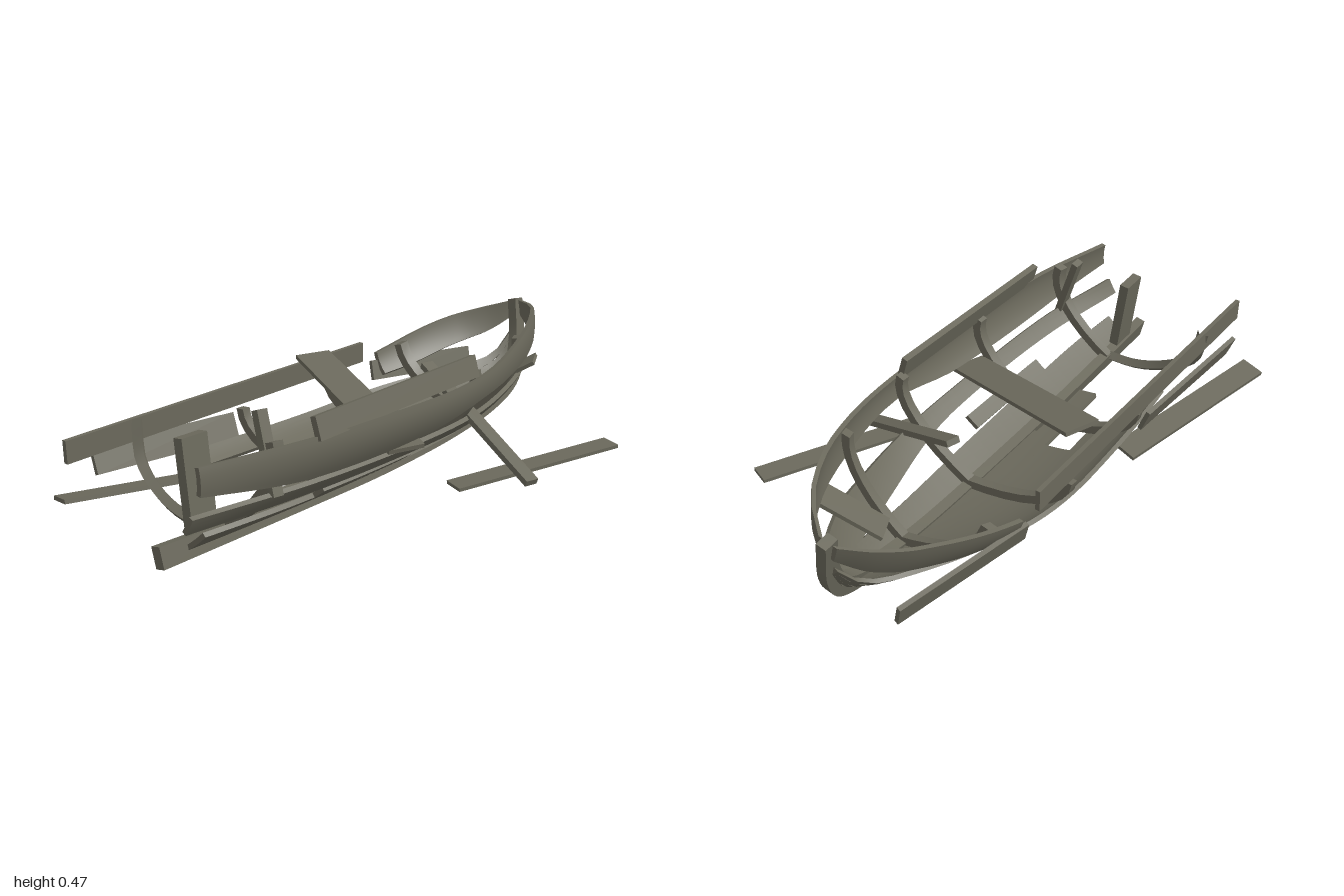
import * as THREE from 'three';
import { toCreasedNormals } from 'three/addons/utils/BufferGeometryUtils.js';

const wood = new THREE.MeshStandardMaterial({ color: 0x6b695c });
wood.name = 'weathered wood';

// Smooth interpolation through [x, value] pairs
function along(pairs) {
  const slope = (i) => {
    const a = pairs[Math.max(i - 1, 0)], b = pairs[Math.min(i + 1, pairs.length - 1)];
    return b === a ? 0 : (b[1] - a[1]) / (b[0] - a[0]);
  };
  return (x) => {
    let i = 0;
    while (i < pairs.length - 2 && x > pairs[i + 1][0]) i++;
    const [x0, y0] = pairs[i], [x1, y1] = pairs[i + 1];
    const d = x1 - x0, s = THREE.MathUtils.clamp((x - x0) / d, 0, 1);
    const s2 = s * s, s3 = s2 * s;
    return y0 * (2 * s3 - 3 * s2 + 1) + y1 * (3 * s2 - 2 * s3)
      + d * (slope(i) * (s3 - 2 * s2 + s) + slope(i + 1) * (s3 - s2));
  };
}

// Hull lines: half beam, sheer height and keel height along the length
const beam = along([[-1, 0.24], [-0.6, 0.33], [0, 0.365], [0.3, 0.35], [0.6, 0.28], [0.8, 0.19], [0.9, 0.11], [0.97, 0.025]]);
const sheer = along([[-1, 0.34], [-0.5, 0.31], [0, 0.29], [0.25, 0.305], [0.5, 0.35], [0.75, 0.4], [0.97, 0.42]]);
const rise = along([[-1, 0.06], [-0.4, 0.035], [0, 0.03], [0.4, 0.035], [0.7, 0.075], [0.87, 0.14], [0.97, 0.3]]);

// Point on the hull section: t = 0 at the keel, 1 at the sheer
function section(x, t) {
  const a = t * Math.PI / 2, k = rise(x);
  return new THREE.Vector2(beam(x) * Math.sin(a), k + (sheer(x) - k) * (0.4 * (1 - Math.cos(a)) + 0.6 * t));
}

// Curved strip of hull between two girth lines, closed on all sides
function strake(name, side, x0, x1, low, high, inner = -0.008, outer = 0.008, nx = 28) {
  const lo = typeof low === 'number' ? () => low : along(low);
  const hi = typeof high === 'number' ? () => high : along(high);
  const m = 8, ring = 2 * (m + 1), pos = [], idx = [];
  for (let k = 0; k <= nx; k++) {
    const x = x0 + (x1 - x0) * k / nx;
    for (let i = 0; i < ring; i++) {
      const j = i <= m ? i : ring - 1 - i, off = i <= m ? outer : inner;
      const t = lo(x) + (hi(x) - lo(x)) * j / m;
      const p = section(x, t), d = section(x, t + 0.01).sub(section(x, t - 0.01)).normalize();
      pos.push(x, p.y - d.x * off, side * (p.x + d.y * off));
    }
  }
  const quad = (a, b, c, d) => side > 0 ? idx.push(a, c, b, b, c, d) : idx.push(a, b, c, b, d, c);
  for (let k = 0; k < nx; k++) for (let i = 0; i < ring; i++) {
    const n = (i + 1) % ring;
    quad(k * ring + i, k * ring + n, (k + 1) * ring + i, (k + 1) * ring + n);
  }
  for (let j = 0; j < m; j++) {
    const e = nx * ring, o = ring - 1 - j;
    quad(j, o, j + 1, o - 1);
    quad(e + o, e + j, e + o - 1, e + j + 1);
  }
  const g = new THREE.BufferGeometry();
  g.setAttribute('position', new THREE.Float32BufferAttribute(pos, 3));
  g.setIndex(idx);
  const mesh = new THREE.Mesh(toCreasedNormals(g, 0.6), wood);
  mesh.name = name;
  return mesh;
}

// Straight board from a to b; "wide" is roughly the direction of its width
function board(name, a, b, width, thick, wide) {
  const A = new THREE.Vector3(...a), B = new THREE.Vector3(...b);
  const X = B.clone().sub(A), length = X.length();
  X.normalize();
  const Z = X.clone().cross(new THREE.Vector3(...wide)).normalize(), Y = Z.clone().cross(X);
  const mesh = new THREE.Mesh(new THREE.BoxGeometry(length, width, thick), wood);
  mesh.quaternion.setFromRotationMatrix(new THREE.Matrix4().makeBasis(X, Y, Z));
  mesh.position.copy(A).add(B).multiplyScalar(0.5);
  mesh.name = name;
  return mesh;
}

function keelAndStem() {
  const v = (p) => p.map(([x, y]) => new THREE.Vector2(x, y));
  const s = new THREE.Shape();
  s.moveTo(-1, 0.03);
  s.splineThru(v([[-0.4, 0.01], [0, 0], [0.4, 0.01], [0.7, 0.045], [0.88, 0.11], [0.965, 0.24], [1, 0.425]]));
  s.lineTo(0.95, 0.43);
  s.splineThru(v([[0.915, 0.28], [0.83, 0.16], [0.66, 0.1], [0.4, 0.06], [0, 0.052], [-0.4, 0.06], [-1, 0.1]]));
  const g = new THREE.ExtrudeGeometry(s, { depth: 0.036, bevelEnabled: false, curveSegments: 5 });
  g.translate(0, 0, -0.018);
  const mesh = new THREE.Mesh(toCreasedNormals(g, 0.6), wood);
  mesh.name = 'keelAndStem';
  return mesh;
}

// Rib pulled out of line at the open stern
function sprungRib() {
  const path = new THREE.CatmullRomCurve3([[-0.72, 0.32, -0.43], [-0.74, 0.19, -0.395], [-0.757, 0.1, -0.27], [-0.755, 0.065, -0.15], [-0.745, 0.07, -0.03]]
    .map((p) => new THREE.Vector3(...p)));
  const mesh = new THREE.Mesh(toCreasedNormals(new THREE.TubeGeometry(path, 14, 0.022, 4), 0.6), wood);
  mesh.name = 'sprungRib';
  return mesh;
}

export function createModel() {
  const model = new THREE.Group();
  model.name = 'wreckedBoat';

  // Hull, heeled over to one side
  const hull = new THREE.Group();
  hull.name = 'hull';
  hull.rotation.x = -0.225;
  hull.position.set(0, 0.005, -0.02);
  hull.add(keelAndStem());

  // Remaining planks of the raised side
  hull.add(
    strake('raisedSheerStrake', 1, -0.99, 0.97, [[-1, 0.76], [-0.6, 0.62], [-0.1, 0.64], [0.2, 0.76], [0.6, 0.72], [0.85, 0.7], [0.97, 0.6]], 1),
    strake('raisedBilgeStrake', 1, -1, 0.91, [[-1, 0.4], [0, 0.4], [0.5, 0.26], [0.91, 0.12]], [[-1, 0.56], [0, 0.53], [0.5, 0.5], [0.7, 0.49], [0.91, 0.38]]),
    strake('raisedGarboard', 1, -0.9, 0.92, 0.03, [[-0.9, 0.25], [0.4, 0.19], [0.92, 0.22]]),
    strake('raisedShortPlank', 1, -0.46, -0.03, 0.22, 0.32)
  );

  // Planks of the sunken side, broken off at different lengths
  const skinTop = [[-0.52, 0.78], [0.2, 0.73], [0.5, 0.63], [0.75, 0.48], [0.95, 0.35]];
  const edge = (f) => skinTop.map(([x, t]) => [x, t * f]);
  [[-0.2, 0, 0.07], [-0.5, 0.07, 0.23], [-0.14, 0.23, 0.47], [-0.26, 0.47, 0.78], [-0.52, 0.78, 1]]
    .forEach(([x0, a, b]) => hull.add(strake('sunkenStrake', -1, x0, 0.95, edge(a), edge(b))));
  hull.add(strake('sunkenBowSheer', -1, 0.45, 0.97, [[0.45, 0.76], [0.6, 0.72], [0.85, 0.7], [0.97, 0.6]], 1));

  // Ribs, with the broken one missing at the sunken stern
  const rib = (x, side, top) => hull.add(strake('rib', side, x - 0.017, x + 0.017, 0, top, -0.04, -0.009, 1));
  rib(-0.73, 1, 1.05);
  for (const [x, top] of [[-0.27, 1.06], [0.18, 1.06], [0.55, 0.98]]) for (const side of [-1, 1]) rib(x, side, top);
  model.add(hull, sprungRib());

  // Sprung and loose planks
  model.add(
    board('sprungSheerPlank', [-0.99, 0.29, -0.44], [0.37, 0.285, -0.415], 0.075, 0.016, [0, 1, 0]),
    board('sprungBowPlank', [0.9, 0.17, -0.285], [0.42, 0.2, -0.405], 0.075, 0.016, [0, 1, -0.3]),
    board('sprungSternPlank', [-0.86, 0.21, -0.48], [-0.3, 0.18, -0.425], 0.09, 0.016, [0, 1, -0.4]),
    board('splayedPlank', [-0.95, 0.09, -0.55], [-0.28, 0.035, -0.37], 0.09, 0.014, [0, 0.15, 1]),
    board('raisedRail', [-0.61, 0.41, 0.23], [0.17, 0.41, 0.245], 0.075, 0.022, [0, 1, -0.3]),
    board('crossBoard', [0.06, 0.355, -0.385], [-0.2, 0.225, 0.245], 0.13, 0.015, [1, 0, 0.4]),
    board('leaningBeam', [0.31, 0.32, -0.06], [0.12, 0.075, 0.515], 0.048, 0.022, [1, 0, 0.3]),
    board('groundPlank', [-0.02, 0.052, 0.3], [0.58, 0.085, 0.555], 0.08, 0.012, [-0.4, 0, 1]),
    board('bowBoard', [0.63, 0.17, -0.03], [0.71, 0.285, 0.15], 0.1, 0.014, [1, 0.1, -0.4]),
    board('sternBoard', [-0.82, 0.11, -0.045], [-0.81, 0.38, -0.08], 0.1, 0.035, [1, 0, 0]),
    board('sternPost', [-0.72, 0.22, 0.17], [-0.69, 0.46, 0.085], 0.04, 0.025, [1, 0, 0])
  );
  return model;
}
